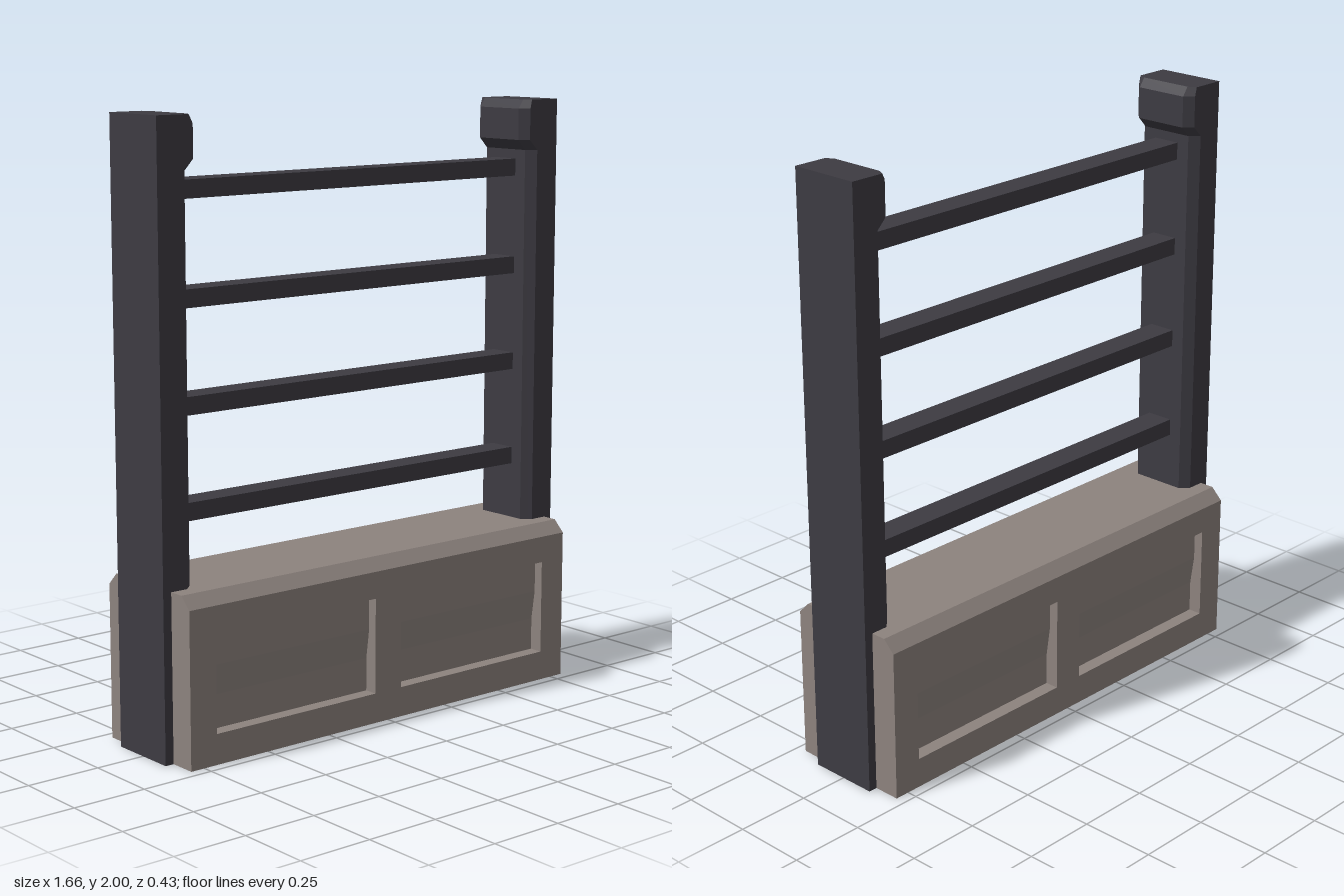
import * as THREE from 'three';

const darkPaint = new THREE.MeshStandardMaterial({ color: 0x3d3b42, flatShading: true });
darkPaint.name = 'dark paint';
const greyStone = new THREE.MeshStandardMaterial({ color: 0x8d837e, flatShading: true });
greyStone.name = 'warm grey stone';

function part(name, geometry, material) {
  const mesh = new THREE.Mesh(geometry, material);
  mesh.name = name;
  return mesh;
}

// Joins rings of equal point count into a closed faceted solid
function loft(rings) {
  const pos = [];
  const tri = (...pts) => pts.forEach((p) => pos.push(...p));
  const n = rings[0].length;
  for (let i = 0; i < rings.length - 1; i++) {
    for (let j = 0; j < n; j++) {
      const k = (j + 1) % n;
      const a = rings[i][j], b = rings[i][k], c = rings[i + 1][k], d = rings[i + 1][j];
      tri(a, d, c);
      tri(a, c, b);
    }
  }
  const low = rings[0], top = rings[rings.length - 1];
  for (let j = 1; j < n - 1; j++) {
    tri(low[0], low[j], low[j + 1]);
    tri(top[0], top[j + 1], top[j]);
  }
  const geometry = new THREE.BufferGeometry();
  geometry.setAttribute('position', new THREE.Float32BufferAttribute(pos, 3));
  geometry.computeVertexNormals();
  return geometry;
}

// Post with chamfered inner corners that swells into a head: [y, front edge x, inner face x]
function postGeometry() {
  const sections = [
    [0, 0.74, 0.71], [1.83, 0.74, 0.71], [1.865, 0.705, 0.677],
    [1.97, 0.705, 0.677], [2, 0.712, 0.698],
  ];
  return loft(sections.map(([y, edge, inner]) => [
    [0.83, y, -0.122], [0.83, y, 0.122], [edge, y, 0.122],
    [inner, y, 0.094], [inner, y, -0.094], [edge, y, -0.122],
  ]));
}

// Base core along x: folded panel faces below, chamfered cap above
function coreGeometry() {
  const side = [[0.168, 0], [0.168, 0.21], [0.182, 0.31], [0.182, 0.51], [0.215, 0.51], [0.175, 0.55]];
  const outline = [...side, ...side.map(([z, y]) => [-z, y]).reverse()];
  const shape = new THREE.Shape(outline.map(([z, y]) => new THREE.Vector2(z, y)));
  const geometry = new THREE.ExtrudeGeometry(shape, { depth: 1.6, bevelEnabled: false });
  return geometry.translate(0, 0, -0.8).rotateY(Math.PI / 2);
}

function rectangle(Type, x0, y0, x1, y1) {
  return new Type([[x0, y0], [x1, y0], [x1, y1], [x0, y1]].map(([x, y]) => new THREE.Vector2(x, y)));
}

// Face frame with two panel openings
function frameGeometry() {
  const shape = rectangle(THREE.Shape, -0.8, 0, 0.8, 0.51);
  shape.holes.push(rectangle(THREE.Path, -0.7, 0.1, -0.055, 0.42));
  shape.holes.push(rectangle(THREE.Path, 0.055, 0.1, 0.7, 0.42));
  return new THREE.ExtrudeGeometry(shape, { depth: 0.05, bevelEnabled: false }).translate(0, 0, 0.165);
}

export function createModel() {
  const model = new THREE.Group();
  model.name = 'railing';

  model.add(part('baseCore', coreGeometry(), greyStone));

  // Frames on both faces, posts on both ends
  const frame = frameGeometry();
  const post = postGeometry();
  for (const [face, end, turn] of [['front', 'left', 0], ['back', 'right', Math.PI]]) {
    const panelFrame = part(face + 'PanelFrame', frame, greyStone);
    const endPost = part(end + 'Post', post, darkPaint);
    panelFrame.rotation.y = endPost.rotation.y = turn;
    model.add(panelFrame, endPost);
  }

  // Cross bars
  const bar = new THREE.BoxGeometry(1.44, 0.058, 0.095);
  [0.77, 1.103, 1.436, 1.77].forEach((y, i) => {
    const mesh = part('crossBar' + (i + 1), bar, darkPaint);
    mesh.position.y = y;
    model.add(mesh);
  });

  return model;
}
